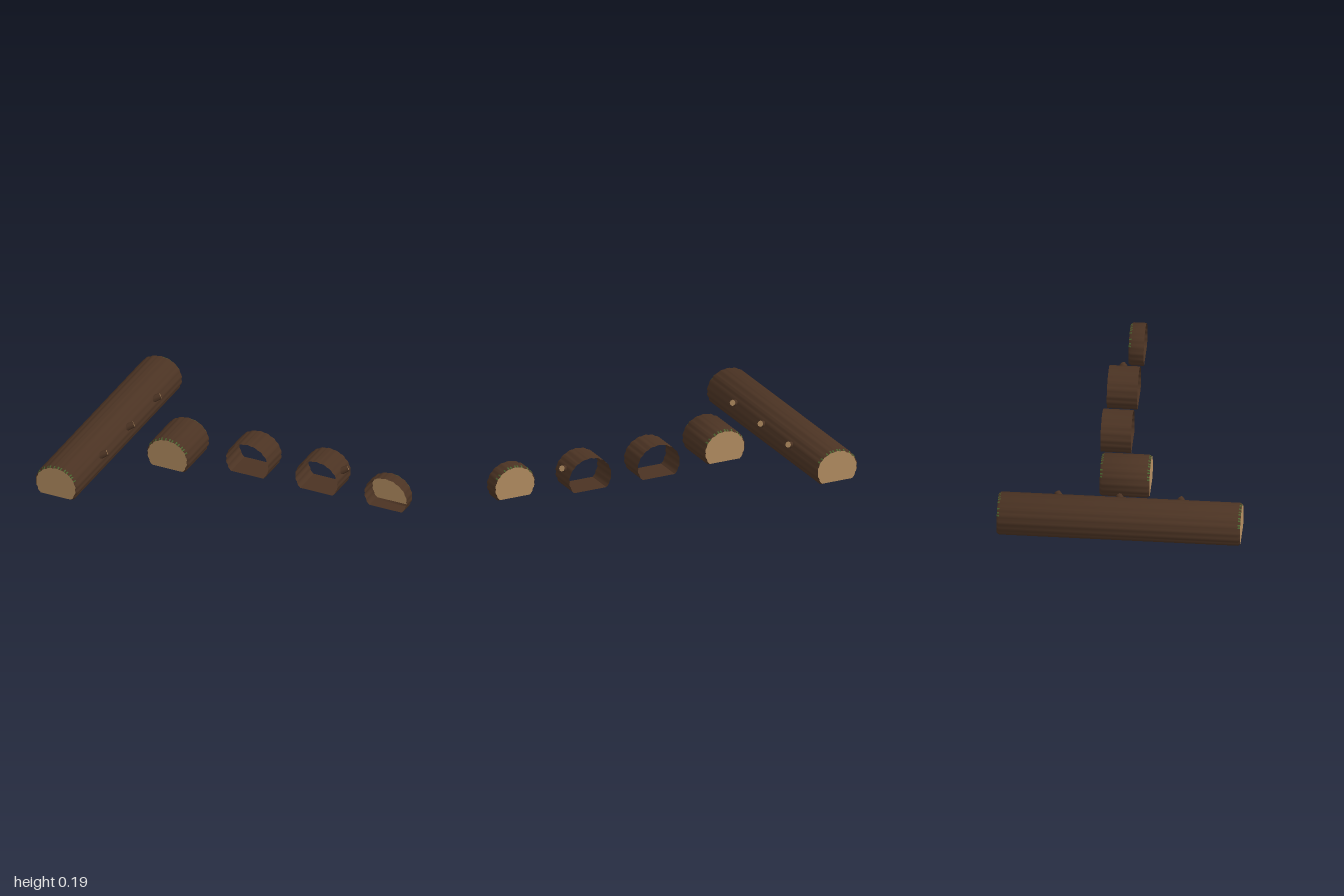
import * as THREE from 'three';
import { toCreasedNormals } from 'three/addons/utils/BufferGeometryUtils.js';

const CY = 0.075; // height of the log axis

// Closed outline of a scalloped log with a flat underside
function outline(scale = 1) {
  const pts = [], n = 68, start = -Math.asin(0.625), span = Math.PI - 2 * start;
  for (let i = 0; i <= n; i++) {
    const a = start + (span * i) / n;
    const s = (0.965 + 0.035 * Math.abs(Math.sin(9 * a))) * scale;
    const y = i === 0 || i === n ? -CY * scale : Math.max(-CY * scale, Math.sin(a) * 0.12 * s);
    pts.push(new THREE.Vector2(Math.cos(a) * 0.1335 * s, y + CY));
  }
  return pts;
}

// Bark lofted through [z, scale] sections; a few worn rim facets are mossy
function barkGeometry(sections) {
  const pos = [], index = [], geo = new THREE.BufferGeometry();
  const n = outline().length;
  for (const [z, s] of sections) for (const p of outline(s)) pos.push(p.x, p.y, z);
  for (let k = 0; k < sections.length - 1; k++) {
    const rim = sections[k][1] !== sections[k + 1][1];
    for (let i = 0; i < n; i++) {
      const a = k * n + i, b = k * n + ((i + 1) % n);
      const mossy = rim && i > 16 && i < 52 && (i * 7 + k * 5) % 18 < 6 + (i % 3);
      geo.addGroup(index.length, 6, mossy ? 1 : 0);
      index.push(a, b, b + n, a, b + n, a + n);
    }
  }
  geo.setAttribute('position', new THREE.Float32BufferAttribute(pos, 3));
  geo.setIndex(index);
  return toCreasedNormals(geo, 0.75);
}

export function createModel() {
  const bark = new THREE.MeshStandardMaterial({ color: 0x4b3323, side: THREE.DoubleSide });
  const wood = new THREE.MeshStandardMaterial({ color: 0xb58f62, side: THREE.DoubleSide });
  const moss = new THREE.MeshStandardMaterial({ color: 0x4a6530, side: THREE.DoubleSide });
  const model = new THREE.Group();
  model.name = 'logPieces';

  const BEVEL = 0.014, RIM = 0.93;

  // One log piece; each end is either cut (bevelled and capped) or open
  function logPiece(name, x, z0, z1, capBack, capFront, stubs = []) {
    const group = new THREE.Group();
    group.name = name;
    group.position.x = x;
    const sections = [];
    if (capBack) sections.push([z0, RIM], [z0 + BEVEL, 1]);
    else sections.push([z0, 1]);
    if (capFront) sections.push([z1 - BEVEL, 1], [z1, RIM]);
    else sections.push([z1, 1]);
    const shell = new THREE.Mesh(barkGeometry(sections), [bark, moss]);
    shell.name = 'bark';
    group.add(shell);

    const cap = (capName, z, turn) => {
      const mesh = new THREE.Mesh(new THREE.ShapeGeometry(new THREE.Shape(outline(RIM))), wood);
      mesh.name = capName;
      mesh.position.z = z;
      mesh.rotation.y = turn;
      group.add(mesh);
    };
    if (capBack) cap('backCutFace', z0, Math.PI);
    if (capFront) cap('frontCutFace', z1, 0);

    // Short broken branches leaning up and back, with pale cut tips
    for (const z of stubs) {
      const from = new THREE.Vector3(0.1, 0.112, z + 0.015);
      const to = new THREE.Vector3(0.147, 0.136, z - 0.018);
      const dir = to.clone().sub(from);
      const stub = new THREE.Mesh(
        new THREE.CylinderGeometry(0.018, 0.022, dir.length(), 8), [bark, wood, bark]);
      stub.name = 'branchStub';
      stub.position.copy(from).add(to).multiplyScalar(0.5);
      stub.quaternion.setFromUnitVectors(new THREE.Vector3(0, 1, 0), dir.normalize());
      group.add(stub);
    }
    model.add(group);
  }

  logPiece('longLog', -0.867, -0.69, 0.69, true, true, [-0.35, -0.002, 0.346]);
  logPiece('shortLog', -0.4335, -0.142, 0.14, true, true);
  logPiece('hollowSegment', 0, -0.173, 0, false, false);
  logPiece('hollowSegmentWithBranch', 0.4335, -0.173, 0, false, false, [-0.09]);
  logPiece('endPiece', 0.867, -0.087, 0, true, false);
  return model;
}
